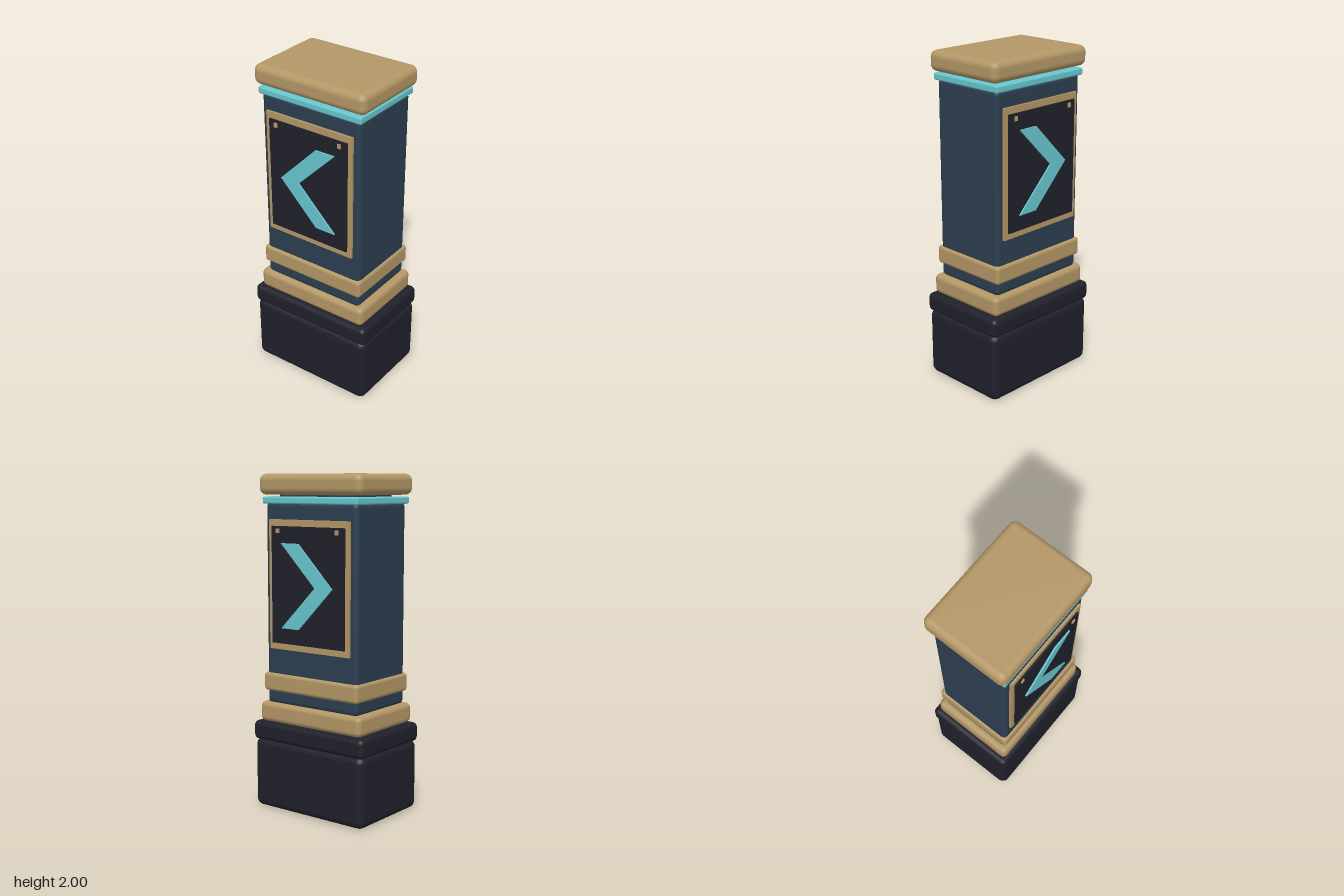
import * as THREE from 'three';
import { RoundedBoxGeometry } from 'three/addons/geometries/RoundedBoxGeometry.js';

const material = (name, color) => {
  const m = new THREE.MeshStandardMaterial({ color });
  m.name = name;
  return m;
};

export function createModel() {
  const navy = material('navy', 0x2c3e50);
  const gold = material('gold', 0xb39766);
  const dark = material('charcoal', 0x20202b);
  const cyan = material('cyan', 0x68c6ce);

  const model = new THREE.Group();
  model.name = 'pillar';

  const add = (parent, name, geometry, mat, x = 0, y = 0, z = 0) => {
    const mesh = new THREE.Mesh(geometry, mat);
    mesh.name = name;
    mesh.position.set(x, y, z);
    parent.add(mesh);
    return mesh;
  };

  // Stacked rounded blocks: name, material, half width, half depth, bottom, top, radius
  const blocks = [
    ['plinth', dark, 0.285, 0.405, 0, 0.425, 0.045],
    ['plinthBand', dark, 0.289, 0.409, 0.415, 0.53, 0.03],
    ['lowerTrim', gold, 0.265, 0.373, 0.53, 0.65, 0.03],
    ['shaft', navy, 0.24, 0.335, 0.64, 1.84, 0.03],
    ['upperTrim', gold, 0.255, 0.348, 0.72, 0.83, 0.02],
    ['lightStrip', cyan, 0.254, 0.346, 1.828, 1.87, 0.01],
    ['cap', gold, 0.266, 0.373, 1.88, 2, 0.04],
  ];
  for (const [name, mat, hx, hz, y0, y1, r] of blocks) {
    add(model, name, new RoundedBoxGeometry(hx * 2, y1 - y0, hz * 2, 4, r), mat, 0, (y0 + y1) / 2);
  }
  // Recessed neck holding the cap
  add(model, 'neck', new THREE.BoxGeometry(0.36, 0.1, 0.54), navy, 0, 1.86);

  // Chevron outline in (z, y), pointing to the back
  const outline = [[0.188, 1.605], [0.06, 1.605], [-0.185, 1.358], [0.06, 1.11], [0.188, 1.11], [-0.06, 1.358]];

  // A framed sign on each side
  for (const side of [1, -1]) {
    const sign = new THREE.Group();
    sign.name = side > 0 ? 'leftSign' : 'rightSign';
    add(sign, 'signFrame', new THREE.BoxGeometry(0.025, 0.76, 0.586), gold, side * 0.2415, 1.36);
    add(sign, 'signPanel', new THREE.BoxGeometry(0.03, 0.684, 0.53), dark, side * 0.25, 1.36);
    for (const z of [-0.216, 0.216]) {
      add(sign, 'signStud', new THREE.BoxGeometry(0.012, 0.026, 0.022), gold, side * 0.266, 1.675, z);
    }
    // Drawn in the xy plane, then turned to face outward
    const shape = new THREE.Shape(outline.map(([z, y]) => new THREE.Vector2(-side * z, y)));
    const chevron = new THREE.ExtrudeGeometry(shape, { depth: 0.0095, bevelEnabled: false });
    add(sign, 'chevron', chevron, cyan, side * 0.2645).rotation.y = side * Math.PI / 2;
    model.add(sign);
  }
  return model;
}
